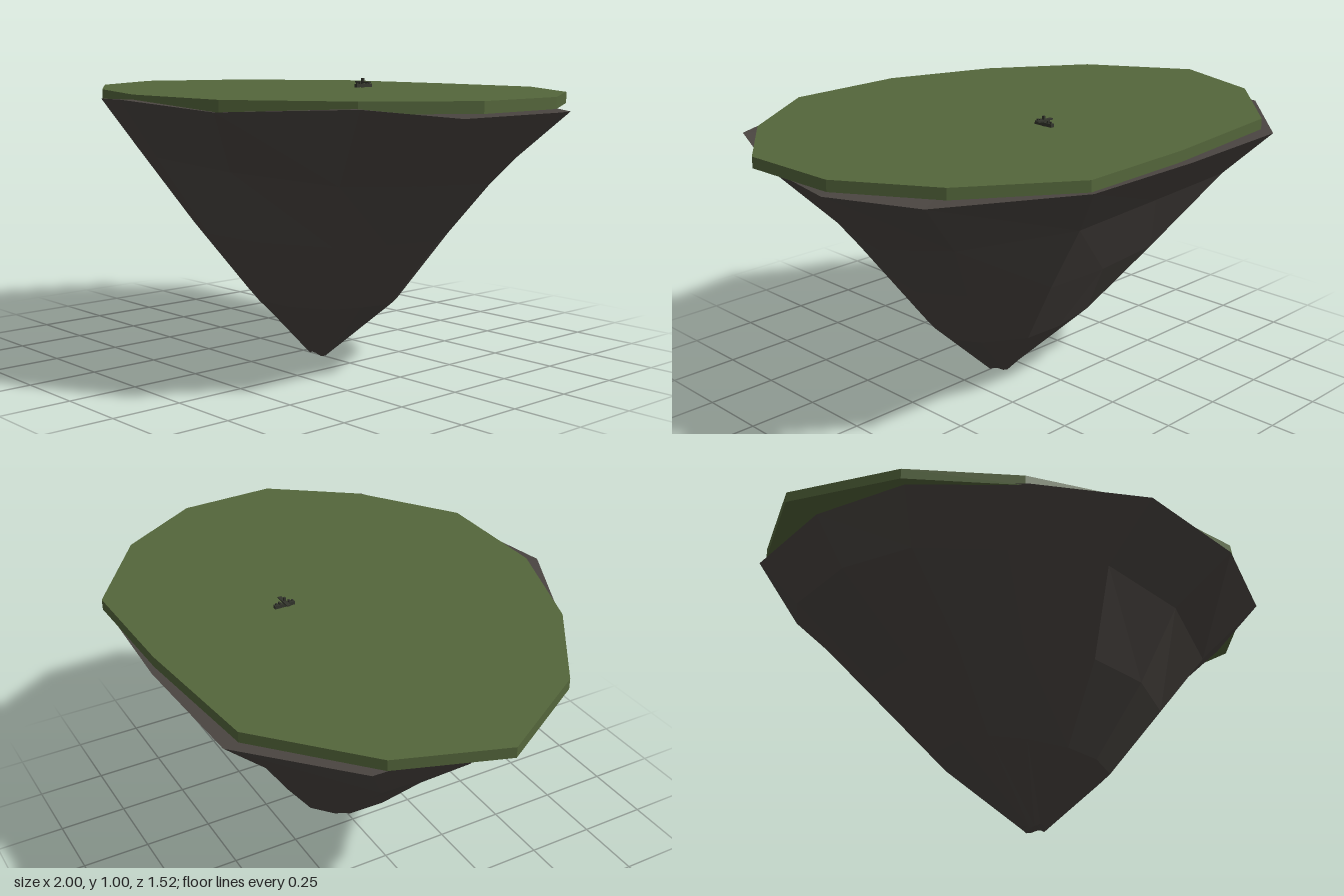
import * as THREE from 'three';

const rockMat = new THREE.MeshStandardMaterial({ color: 0x4a4541, flatShading: true });
rockMat.name = 'dark rock';
const grassMat = new THREE.MeshStandardMaterial({ color: 0x54663b, flatShading: true });
grassMat.name = 'grass green';
const flyerMat = new THREE.MeshStandardMaterial({ color: 0x33352c, flatShading: true });
flyerMat.name = 'charcoal';

// Rim of the rock: x, y, z
const rim = [
  [-0.87, 0.93, -0.43], [-0.53, 0.925, -0.74], [-0.04, 0.925, -0.765], [0.40, 0.915, -0.74],
  [0.83, 0.905, -0.47], [0.995, 0.92, -0.2], [0.92, 0.912, 0.17], [0.80, 0.947, 0.49],
  [0.40, 0.93, 0.715], [-0.04, 0.953, 0.76], [-0.44, 0.935, 0.575], [-0.75, 0.93, 0.32],
  [-0.88, 0.93, -0.02],
];
// Lower rings: height, x scale, z scale, x centre, z centre, drop towards +x, lift towards -x
const rings = [
  [0.75, 0.81, 0.77, -0.01, 0, 0.08, 0.01],
  [0.48, 0.56, 0.56, 0.04, 0, 0.01, 0.02],
  [0.225, 0.335, 0.325, 0.06, -0.012, 0, 0.04],
  [0.008, 0.045, 0.05, 0.08, -0.01, 0, 0],
];

function rockGeometry() {
  const n = rim.length;
  const loops = [rim];
  rings.forEach(([y, sx, sz, cx, cz, drop, lift], k) => {
    loops.push(rim.map(([x, , z], i) => {
      // The tip is slightly ragged
      const ragged = k === 3 ? 0.008 * Math.cos(i * 1.45) : 0;
      const tilt = lift * Math.max(0, -x) - drop * Math.max(0, x - 0.1);
      return [cx + (x - 0.055) * sx, y + ragged + tilt, cz + z * sz];
    }));
  });
  const tip = loops[loops.length - 1];
  const pos = [];
  const tri = (a, b, c) => pos.push(...a, ...b, ...c);
  for (let i = 0; i < n; i++) {
    const j = (i + 1) % n;
    for (let k = 0; k < loops.length - 1; k++) {
      const a = loops[k], b = loops[k + 1];
      tri(a[i], a[j], b[i]);
      tri(a[j], b[j], b[i]);
    }
    // Top face and hollow tip
    tri([0, 0.93, 0], rim[j], rim[i]);
    tri([0.08, 0.03, -0.01], tip[i], tip[j]);
  }
  const g = new THREE.BufferGeometry();
  g.setAttribute('position', new THREE.Float32BufferAttribute(pos, 3));
  g.computeVertexNormals();
  return g;
}

// Flat grass slab with an uneven outline
function grassGeometry() {
  const outline = [
    [-1, -0.02], [-0.87, -0.38], [-0.53, -0.69], [-0.01, -0.745], [0.43, -0.755],
    [0.78, -0.51], [0.975, -0.2], [0.987, 0.16], [0.76, 0.46], [0.41, 0.705],
    [-0.04, 0.71], [-0.44, 0.57], [-0.78, 0.34],
  ];
  const shape = new THREE.Shape(outline.map(([x, z]) => new THREE.Vector2(x, -z)));
  const g = new THREE.ExtrudeGeometry(shape, { depth: 0.038, bevelEnabled: false });
  g.rotateX(-Math.PI / 2);
  g.translate(0, 0.93, 0);
  return g;
}

// Tiny cross-shaped craft resting on the grass
function makeFlyer() {
  const flyer = new THREE.Group();
  flyer.name = 'smallFlyer';
  const box = (name, w, h, d, x, y, z) => {
    const m = new THREE.Mesh(new THREE.BoxGeometry(w, h, d), flyerMat);
    m.name = name;
    m.position.set(x, y, z);
    flyer.add(m);
  };
  box('body', 0.014, 0.012, 0.076, 0, 0.008, 0);
  box('wings', 0.07, 0.005, 0.014, 0, 0.02, 0);
  box('mast', 0.008, 0.035, 0.008, 0, 0.0175, 0.002);
  [-1, 1].forEach((s) => {
    box('innerPost', 0.01, 0.01, 0.006, 0, 0.017, -0.018 * s);
    box('endPost', 0.006, 0.012, 0.006, 0, 0.014, 0.03 * s);
  });
  flyer.position.set(0.075, 0.968, -0.227);
  return flyer;
}

export function createModel() {
  const group = new THREE.Group();
  group.name = 'floatingIsland';
  const rock = new THREE.Mesh(rockGeometry(), rockMat);
  rock.name = 'rockBase';
  const grass = new THREE.Mesh(grassGeometry(), grassMat);
  grass.name = 'grassTop';
  group.add(rock, grass, makeFlyer());
  return group;
}
